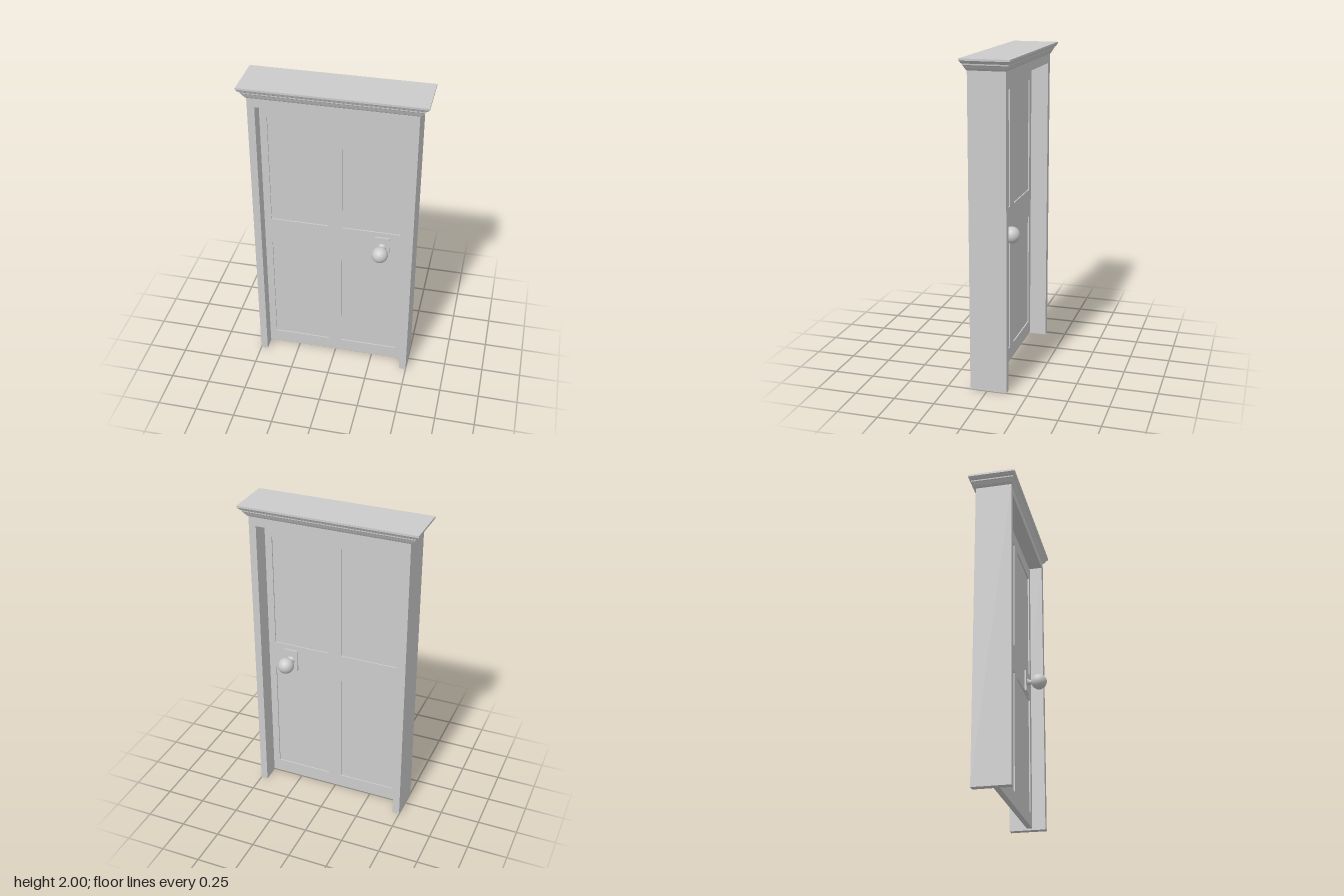
import * as THREE from 'three';

const material = new THREE.MeshStandardMaterial({ color: 0xcccccc });

function add(parent, name, geometry, x = 0, y = 0, z = 0) {
  const mesh = new THREE.Mesh(geometry, material);
  mesh.name = name;
  mesh.position.set(x, y, z);
  parent.add(mesh);
  return mesh;
}

function polygon(points, Type = THREE.Shape) {
  return new Type(points.map(([x, y]) => new THREE.Vector2(x, y)));
}

// Closed solid lofted through rectangular rings [halfWidth, y, halfDepth, centreZ]
function loftRectangles(rings) {
  const positions = [];
  const index = [];
  for (const [w, y, d, c] of rings) {
    positions.push(-w, y, c + d, w, y, c + d, w, y, c - d, -w, y, c - d);
  }
  for (let r = 0; r < rings.length - 1; r++) {
    for (let i = 0; i < 4; i++) {
      const a = r * 4 + i, b = r * 4 + (i + 1) % 4;
      index.push(a, b, b + 4, a, b + 4, a + 4);
    }
  }
  const t = (rings.length - 1) * 4;
  index.push(0, 2, 1, 0, 3, 2, t, t + 1, t + 2, t, t + 2, t + 3);
  const indexed = new THREE.BufferGeometry();
  indexed.setAttribute('position', new THREE.Float32BufferAttribute(positions, 3));
  indexed.setIndex(index);
  const geometry = indexed.toNonIndexed();
  geometry.computeVertexNormals();
  return geometry;
}

export function createModel() {
  const model = new THREE.Group();
  model.name = 'door';

  // Frame: two jambs and a header
  const frame = polygon([
    [-0.5, 0], [-0.455, 0], [-0.455, 1.873], [0.455, 1.873],
    [0.455, 0], [0.5, 0], [0.5, 1.93], [-0.5, 1.93],
  ]);
  add(model, 'frame', new THREE.ExtrudeGeometry(frame, { depth: 0.228, bevelEnabled: false }), 0, 0, -0.122);

  // Cornice: [share of the overhang, height]
  const profile = [
    [0, 1.929], [0.1, 1.932], [0.25, 1.941], [0.5, 1.959], [0.58, 1.962],
    [0.6, 1.97], [0.76, 1.974], [0.9, 1.983], [1, 1.988], [1, 2],
  ];
  add(model, 'cornice', loftRectangles(profile.map(([f, y]) =>
    [0.5 + 0.054 * f, y, 0.114 + 0.034 * f, -0.008 - 0.004 * f])));

  // Door leaf with four sunken panels on each face
  const leafZ = 0.0055, leafThickness = 0.034, inset = 0.008;
  const leaf = polygon([[-0.4545, 0.012], [0.4545, 0.012], [0.4545, 1.86], [-0.4545, 1.86]]);
  const panels = new THREE.Group();
  panels.name = 'panels';
  model.add(panels);
  for (const [x0, x1] of [[-0.41, -0.043], [0.043, 0.41]]) {
    for (const [y0, y1] of [[0.1, 0.855], [1.038, 1.769]]) {
      leaf.holes.push(polygon([[x0, y0], [x0, y1], [x1, y1], [x1, y0]], THREE.Path));
      add(panels, 'panel', new THREE.BoxGeometry(x1 - x0, y1 - y0, leafThickness - 2 * inset),
        (x0 + x1) / 2, (y0 + y1) / 2, leafZ);
    }
  }
  add(model, 'leaf', new THREE.ExtrudeGeometry(leaf, { depth: leafThickness, bevelEnabled: false }),
    0, 0, leafZ - leafThickness / 2);

  // Knob set on both faces: plate, flared neck, ball
  const neckProfile = [[0.026, 0], [0.022, 0.006], [0.016, 0.014], [0.014, 0.025], [0.016, 0.045]]
    .map(([r, h]) => new THREE.Vector2(r, h));
  for (const side of [1, -1]) {
    const knob = new THREE.Group();
    knob.name = side > 0 ? 'frontKnob' : 'backKnob';
    knob.position.set(0.3, 0.935, leafZ + side * leafThickness / 2);
    if (side < 0) knob.rotation.y = Math.PI;
    add(knob, 'plate', new THREE.BoxGeometry(0.092, 0.142, 0.012), 0, 0, 0.004);
    add(knob, 'neck', new THREE.LatheGeometry(neckProfile, 24), 0, 0, 0.01).rotation.x = Math.PI / 2;
    add(knob, 'ball', new THREE.SphereGeometry(0.051, 32, 20), 0, 0, 0.085).rotation.x = Math.PI / 2;
    model.add(knob);
  }

  return model;
}
